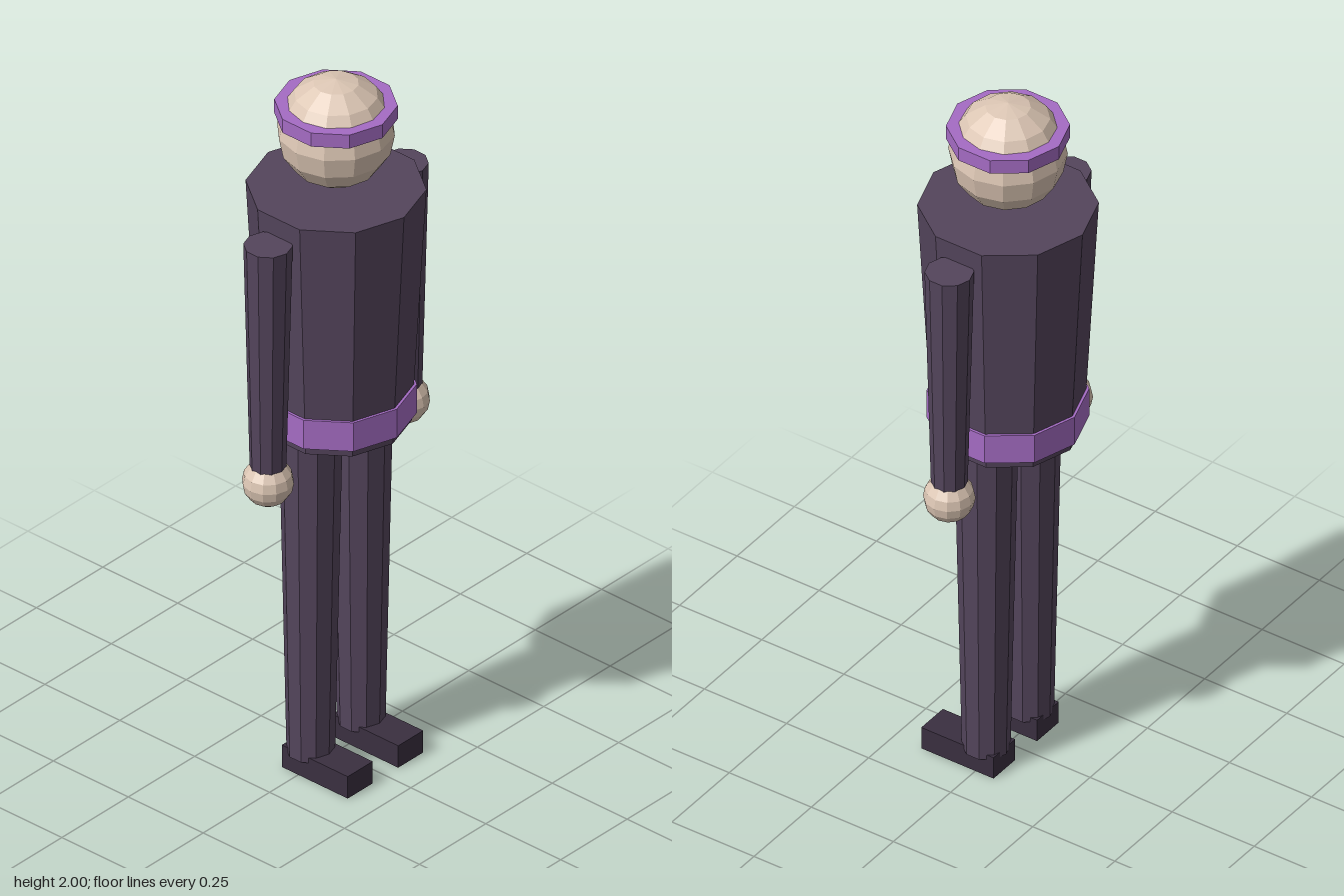
import * as THREE from 'three';

const material = (color) => new THREE.MeshStandardMaterial({ color, flatShading: true });

export function createModel() {
  const model = new THREE.Group();
  const suit = material(0x54455c);
  const shoeMat = material(0x3a2f40);
  const skin = material(0xdcc6b4);
  const purple = material(0xa56cc4);

  const add = (name, geometry, mat, x, y, z = 0) => {
    const mesh = new THREE.Mesh(geometry, mat);
    mesh.name = name;
    mesh.position.set(x, y, z);
    model.add(mesh);
  };
  // Ten-sided tapered column between two heights
  const column = (name, mat, x, bottom, top, rBottom, rTop) =>
    add(name, new THREE.CylinderGeometry(rTop, rBottom, top - bottom, 10), mat, x, (bottom + top) / 2);

  // Body and belt
  column('torso', suit, 0, 0.997, 1.685, 0.19, 0.227);
  column('belt', purple, 0, 1.02, 1.105, 0.203, 0.203);

  // Floating head with headband
  add('head', new THREE.SphereGeometry(0.15, 12, 8), skin, 0, 1.85);
  column('headband', purple, 0, 1.89, 1.93, 0.155, 0.155);

  // Limbs, mirrored
  for (const [side, s] of [['left', 1], ['right', -1]]) {
    column(side + 'Arm', suit, s * 0.256, 0.93, 1.63, 0.045, 0.062);
    add(side + 'Hand', new THREE.SphereGeometry(0.066, 12, 8), skin, s * 0.256, 0.928);
    column(side + 'Leg', suit, s * 0.095, 0.05, 1.0, 0.061, 0.08);
    add(side + 'Shoe', new THREE.BoxGeometry(0.094, 0.065, 0.22), shoeMat, s * 0.095, 0.0325, 0.055);
  }
  return model;
}
